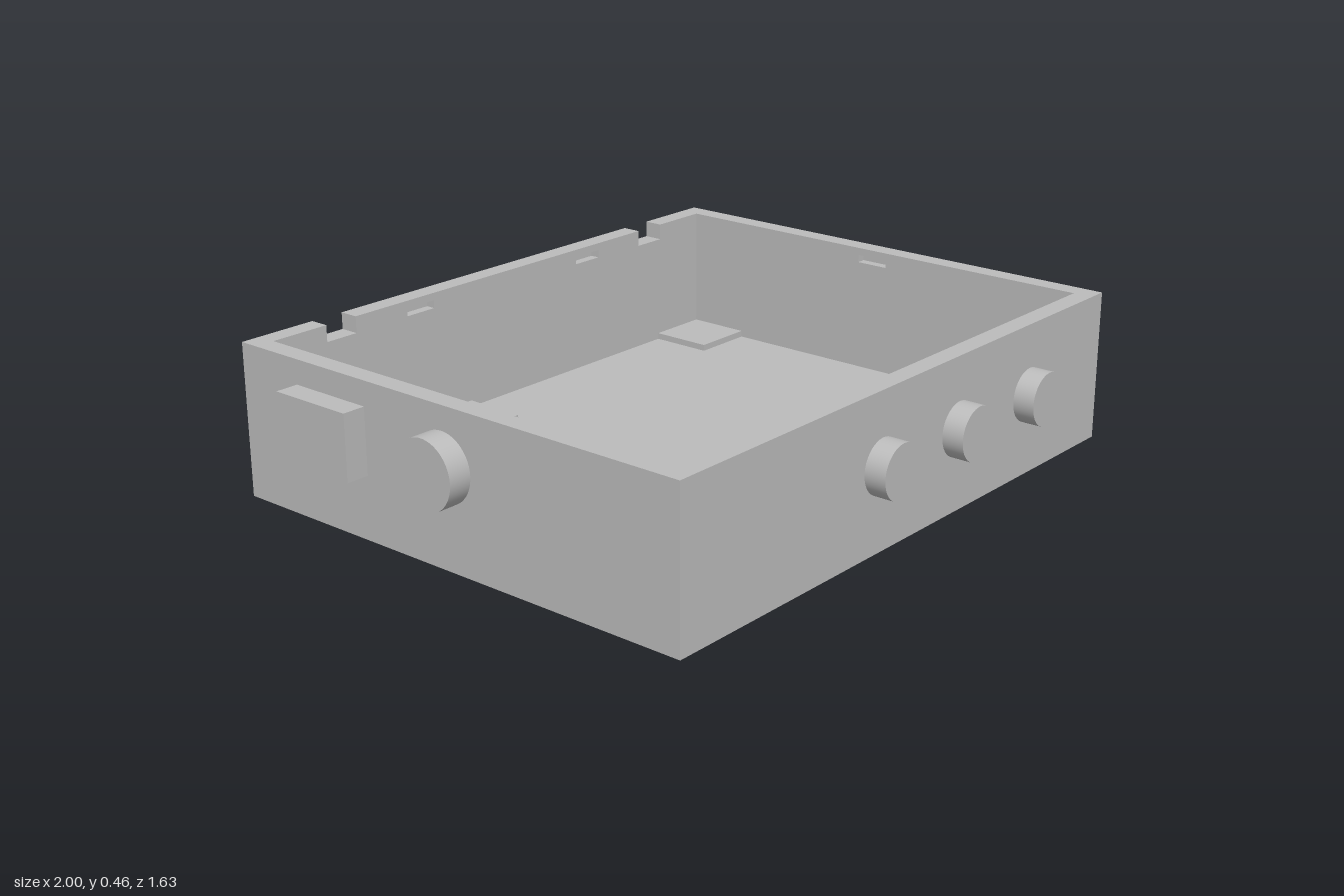
import * as THREE from 'three';

const H = 0.455;                    // case height
const T = 0.06;                     // wall and floor thickness
const X0 = -0.93, X1 = 1, Z0 = -0.82, Z1 = 0.75;
const CX = (X0 + X1) / 2, CZ = (Z0 + Z1) / 2;

export function createModel() {
  const model = new THREE.Group();
  const grey = new THREE.MeshStandardMaterial({ color: 0xbcbcbc });
  grey.name = 'plain grey';

  const add = (parent, name, geometry, x, y, z) => {
    const mesh = new THREE.Mesh(geometry, grey);
    mesh.name = name;
    mesh.position.set(x, y, z);
    parent.add(mesh);
    return mesh;
  };

  // Box given by its limits on each axis
  const block = (name, x0, x1, y0, y1, z0, z1) =>
    add(model, name, new THREE.BoxGeometry(x1 - x0, y1 - y0, z1 - z0),
      (x0 + x1) / 2, (y0 + y1) / 2, (z0 + z1) / 2);

  // Wall elevation with rim notches and, on the inner layer, latch slots
  const elevation = (length, notches, slots) => {
    const h = length / 2;
    const s = new THREE.Shape();
    s.moveTo(-h, 0).lineTo(h, 0).lineTo(h, H);
    for (const c of [...notches].sort((a, b) => b - a)) {
      s.lineTo(c + 0.054, H).lineTo(c + 0.054, H - 0.05);
      s.lineTo(c - 0.054, H - 0.05).lineTo(c - 0.054, H);
    }
    s.lineTo(-h, H);
    for (const c of slots) {
      const p = new THREE.Path();
      p.moveTo(c - 0.053, 0.408).lineTo(c - 0.053, 0.432);
      p.lineTo(c + 0.053, 0.432).lineTo(c + 0.053, 0.408).closePath();
      s.holes.push(p);
    }
    return new THREE.ExtrudeGeometry(s, { depth: T / 2, bevelEnabled: false });
  };

  // Each wall is an inner layer with slots backed by a closed outer layer
  const wall = (name, length, x, z, angle, slots, notches = []) => {
    const group = new THREE.Group();
    group.name = name;
    add(group, name + 'InnerLayer', elevation(length, notches, slots), 0, 0, 0);
    add(group, name + 'OuterLayer', elevation(length, notches, []), 0, 0, T / 2);
    group.position.set(x, 0, z);
    group.rotation.y = angle;
    model.add(group);
  };
  const long = X1 - X0, short = Z1 - Z0 - 2 * T;
  wall('frontWall', long, CX, Z1 - T, 0, [-0.36, 0.36]);
  wall('backWall', long, CX, Z0 + T, Math.PI, [-0.36, 0.36], [-0.663, 0.663]);
  wall('leftWall', short, X1 - T, CZ, Math.PI / 2, [0]);
  wall('rightWall', short, X0 + T, CZ, -Math.PI / 2, [0]);

  // Floor and the square pads on it
  block('floor', X0 + T, X1 - T, 0, T, Z0 + T, Z1 - T);
  for (const [x, z] of [[-0.235, 0.313], [-0.235, -0.66], [0.84, -0.66]]) {
    block('floorPad', x - 0.1, x + 0.1, T, T + 0.02, z - 0.1, z + 0.1);
  }

  // Round plugs through the front wall
  for (const x of [-0.118, 0.243, 0.605]) {
    add(model, 'frontPlug', new THREE.CylinderGeometry(0.08, 0.08, 0.2, 64),
      x, 0.243, 0.715).rotation.x = Math.PI / 2;
  }

  // Large round plug and rectangular plug through the right wall
  add(model, 'sidePlug', new THREE.CylinderGeometry(0.1, 0.1, 0.2, 64),
    -0.9, 0.285, -0.037).rotation.z = Math.PI / 2;
  block('sideBlock', -1, -0.8, 0.188, 0.382, -0.595, -0.327);

  return model;
}
